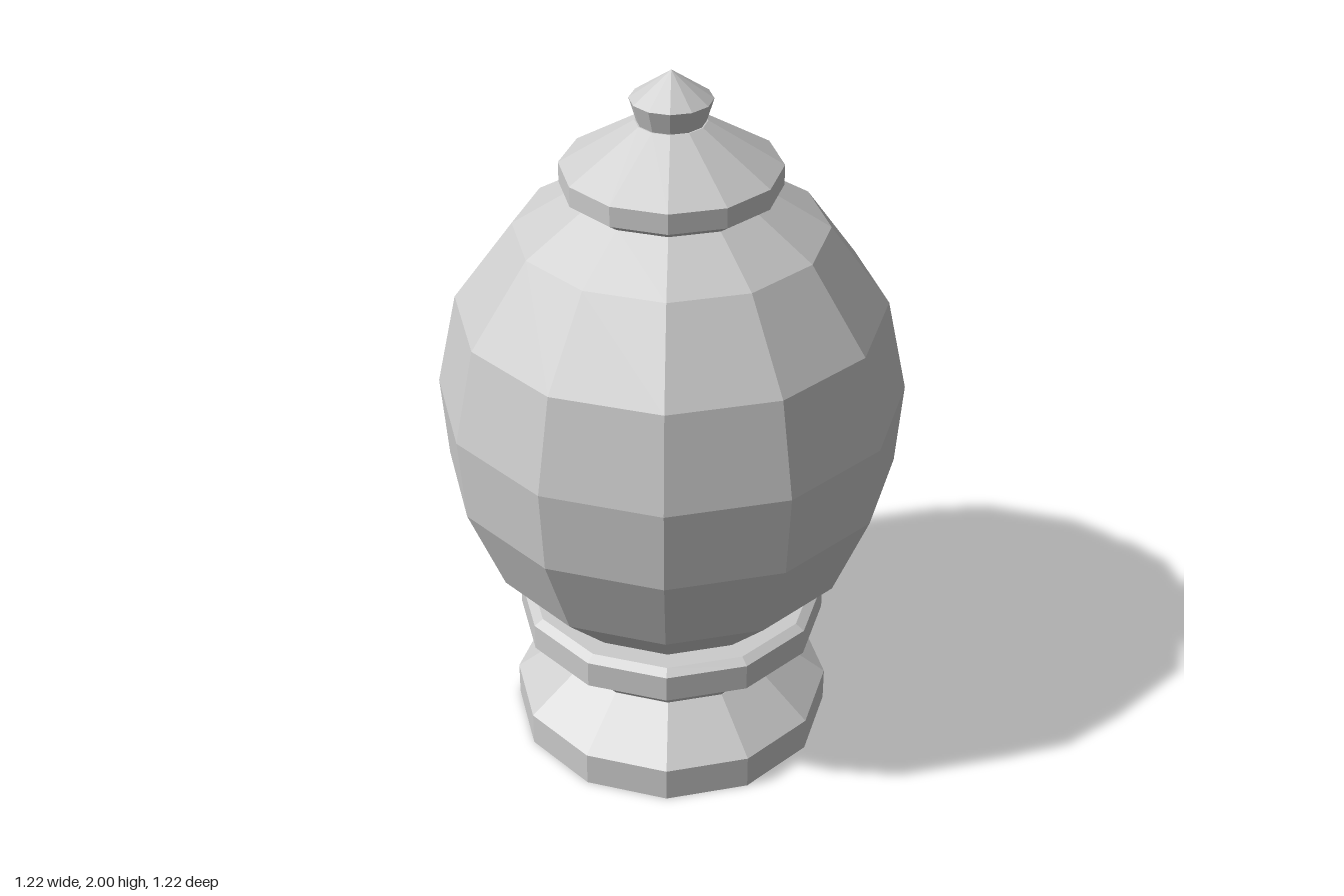
import * as THREE from 'three';

const SIDES = 12;
const FLAT = Math.cos(Math.PI / SIDES); // half-width to corner radius

export function createModel() {
  const group = new THREE.Group();
  const stone = new THREE.MeshStandardMaterial({ color: 0xcccccc, flatShading: true });
  stone.name = 'stone grey';

  // Turns a [half-width, height] profile, bottom to top, into a faceted part
  const turn = (name, profile) => {
    const points = profile.map(([w, y]) => new THREE.Vector2(w / FLAT, y));
    const mesh = new THREE.Mesh(new THREE.LatheGeometry(points, SIDES, Math.PI / SIDES), stone);
    mesh.name = name;
    group.add(mesh);
  };

  // Flared foot
  turn('foot', [[0, 0], [0.437, 0], [0.437, 0.1], [0.29, 0.22], [0, 0.22]]);
  // Waisted stem opening into a collar
  turn('collar', [[0, 0.215], [0.285, 0.215], [0.35, 0.3], [0.42, 0.342], [0.42, 0.42], [0.395, 0.435], [0, 0.437]]);
  // Rounded urn body
  turn('body', [[0, 0.43], [0.335, 0.43], [0.497, 0.6], [0.594, 0.855], [0.61, 1.09], [0.555, 1.35],
    [0.4, 1.57], [0.245, 1.67], [0, 1.67]]);
  // Sloping lid with a rim
  turn('lid', [[0, 1.665], [0.245, 1.665], [0.279, 1.69], [0.279, 1.745], [0.09, 1.865], [0, 1.865]]);
  // Pointed knob
  turn('finial', [[0, 1.86], [0.085, 1.86], [0.104, 1.925], [0, 2]]);

  return group;
}
